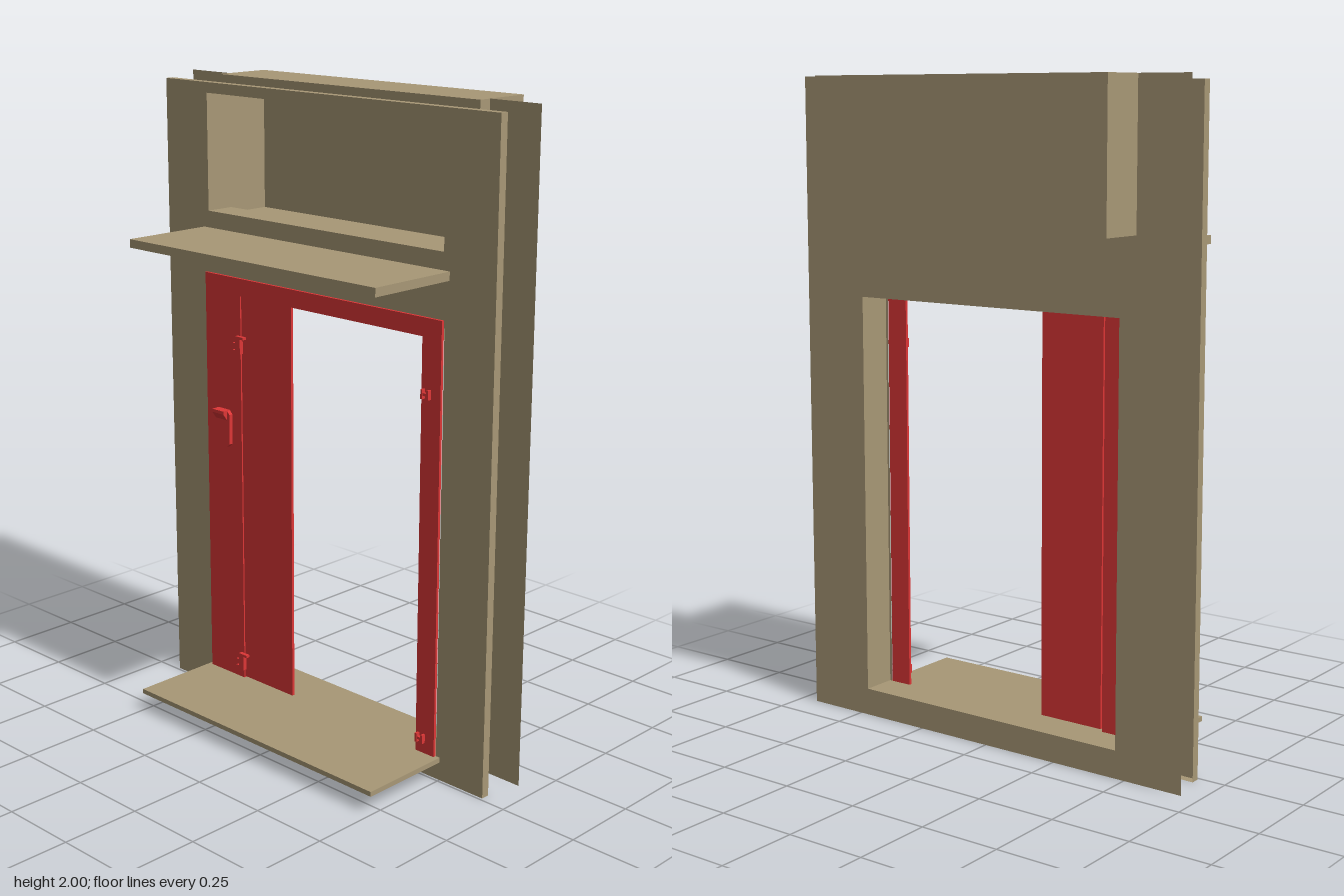
import * as THREE from 'three';

const tan = new THREE.MeshStandardMaterial({ color: 0xa89876, side: THREE.DoubleSide });
const red = new THREE.MeshStandardMaterial({ color: 0xdd3636, side: THREE.DoubleSide });

function add(parent, name, geometry, material) {
  const mesh = new THREE.Mesh(geometry, material);
  mesh.name = name;
  parent.add(mesh);
  return mesh;
}

// Box given by its limits on each axis
function block(parent, name, material, x0, x1, y0, y1, z0, z1) {
  const geometry = new THREE.BoxGeometry(x1 - x0, y1 - y0, z1 - z0);
  geometry.translate((x0 + x1) / 2, (y0 + y1) / 2, (z0 + z1) / 2);
  return add(parent, name, geometry, material);
}

function trace(path, [x0, x1, y0, y1]) {
  path.moveTo(x0, y0);
  path.lineTo(x1, y0);
  path.lineTo(x1, y1);
  path.lineTo(x0, y1);
  path.closePath();
  return path;
}

function rectShape(outer, holes = []) {
  const shape = trace(new THREE.Shape(), outer);
  for (const hole of holes) shape.holes.push(trace(new THREE.Path(), hole));
  return shape;
}

// Flat sheet with rectangular openings
function sheet(parent, name, outer, holes, z) {
  const geometry = new THREE.ShapeGeometry(rectShape(outer, holes));
  geometry.translate(0, 0, z);
  return add(parent, name, geometry, tan);
}

// Four thin walls around a rectangle, open at both ends
function sleeve(parent, name, [x0, x1, y0, y1], z0, z1) {
  const group = new THREE.Group();
  group.name = name;
  const w = x1 - x0, h = y1 - y0, d = z1 - z0;
  for (const side of [-1, 1]) {
    const level = new THREE.PlaneGeometry(w, d).rotateX(-side * Math.PI / 2);
    level.translate((x0 + x1) / 2, side > 0 ? y1 : y0, (z0 + z1) / 2);
    add(group, side > 0 ? 'top' : 'bottom', level, tan);
    const upright = new THREE.PlaneGeometry(d, h).rotateY(side * Math.PI / 2);
    upright.translate(side > 0 ? x1 : x0, (y0 + y1) / 2, (z0 + z1) / 2);
    add(group, side > 0 ? 'leftSide' : 'rightSide', upright, tan);
  }
  parent.add(group);
}

export function createModel() {
  const model = new THREE.Group();
  model.name = 'landingDoorway';

  const zFront = -0.009, zLip = -0.036, zNeck = -0.104, zWall = -0.145, zBack = -0.292;
  const panel = [-0.665, 0.665, 0, 1.985];
  const doorway = [-0.485, 0.485, 0.072, 1.398];
  const reveal = [-0.47, 0.47, 0.085, 1.335];
  const neck = [-0.5, 0.5, 1.567, 1.975];
  const neckHole = [-0.48, 0.478, 1.592, 1.953];
  const cabinet = [-0.523, 0.515, 1.565, 2];

  // Front panel with a folded lip, open at the rear
  sheet(model, 'frontPanel', panel, [doorway, neck], zFront);
  sleeve(model, 'frontPanelLip', panel, zLip, zFront);

  // Rear wall and the lining of the passage
  sheet(model, 'rearWall', [-0.692, 0.692, 0, 2], [reveal, [-0.523, 0.515, 1.565, 1.999]], zWall);
  sleeve(model, 'passageLining', reveal, zWall, zLip);

  // Upper recess: framed neck leading into a larger cabinet
  const frame = new THREE.ExtrudeGeometry(rectShape(neck, [neckHole]), {
    depth: zFront - zNeck, bevelEnabled: false,
  });
  frame.translate(0, 0, zNeck);
  add(model, 'recessFrame', frame, tan);
  sleeve(model, 'cabinetSides', cabinet, zBack, zNeck);
  sheet(model, 'cabinetBack', cabinet, [], zBack);
  sheet(model, 'cabinetFrontRim', cabinet, [neckHole], zNeck);

  // Canopy and threshold
  block(model, 'canopy', tan, -0.5, 0.5, 1.514, 1.54, zFront, 0.292);
  block(model, 'threshold', tan, -0.5, 0.5, 0.058, 0.073, -0.1, 0.292);

  // Red door frame and partly open leaf
  const surround = new THREE.Shape([
    [-0.488, 0.073], [-0.332, 0.073], [-0.332, 1.345], [0.413, 1.345],
    [0.413, 0.073], [0.484, 0.073], [0.484, 1.4], [-0.488, 1.4],
  ].map(([x, y]) => new THREE.Vector2(x, y)));
  const surroundGeometry = new THREE.ExtrudeGeometry(surround, { depth: 0.009, bevelEnabled: false });
  surroundGeometry.translate(0, 0, -0.008);
  add(model, 'doorFrame', surroundGeometry, red);
  block(model, 'doorLeaf', red, -0.327, -0.11, 0.08, 1.345, -0.008, 0.001);

  // Hinges on one jamb, H-shaped keepers on the other
  for (const y of [0.13, 1.19]) {
    const hinge = new THREE.Group();
    hinge.name = 'hinge';
    block(hinge, 'hingeLeaf', red, -0.344, -0.322, y - 0.025, y + 0.03, 0, 0.014);
    block(hinge, 'hingeCap', red, -0.322, -0.308, y + 0.022, y + 0.03, 0, 0.014);
    for (const dy of [-0.02, 0.002]) {
      block(hinge, 'hingePin', red, -0.36, -0.344, y + dy - 0.004, y + dy + 0.004, 0, 0.01);
    }
    model.add(hinge);

    const keeper = new THREE.Group();
    keeper.name = 'keeper';
    const ky = y - 0.009;
    block(keeper, 'keeperBar', red, 0.424, 0.442, ky - 0.004, ky + 0.004, 0, 0.012);
    for (const x of [0.42, 0.442]) {
      block(keeper, 'keeperPost', red, x, x + 0.007, ky - 0.014, ky + 0.014, 0, 0.014);
    }
    model.add(keeper);
  }

  // Call box with clipped corners and a sloping hood
  const callBox = new THREE.Group();
  callBox.name = 'callBox';
  const body = new THREE.Shape([
    [-0.435, 0.853], [-0.385, 0.853], [-0.374, 0.863], [-0.374, 0.96],
    [-0.385, 0.972], [-0.435, 0.972], [-0.446, 0.96], [-0.446, 0.863],
  ].map(([x, y]) => new THREE.Vector2(x, y)));
  add(callBox, 'callBoxBody', new THREE.ExtrudeGeometry(body, { depth: 0.014, bevelEnabled: false }), red);
  const hoodProfile = new THREE.Shape([
    [0, 0.94], [0.014, 0.94], [0.03, 0.962], [0.03, 0.972], [0, 0.972],
  ].map(([z, y]) => new THREE.Vector2(-z, y)));
  const hood = new THREE.ExtrudeGeometry(hoodProfile, { depth: 0.052, bevelEnabled: false });
  hood.rotateY(Math.PI / 2);
  hood.translate(-0.436, 0, 0);
  add(callBox, 'callBoxHood', hood, red);
  model.add(callBox);

  return model;
}
